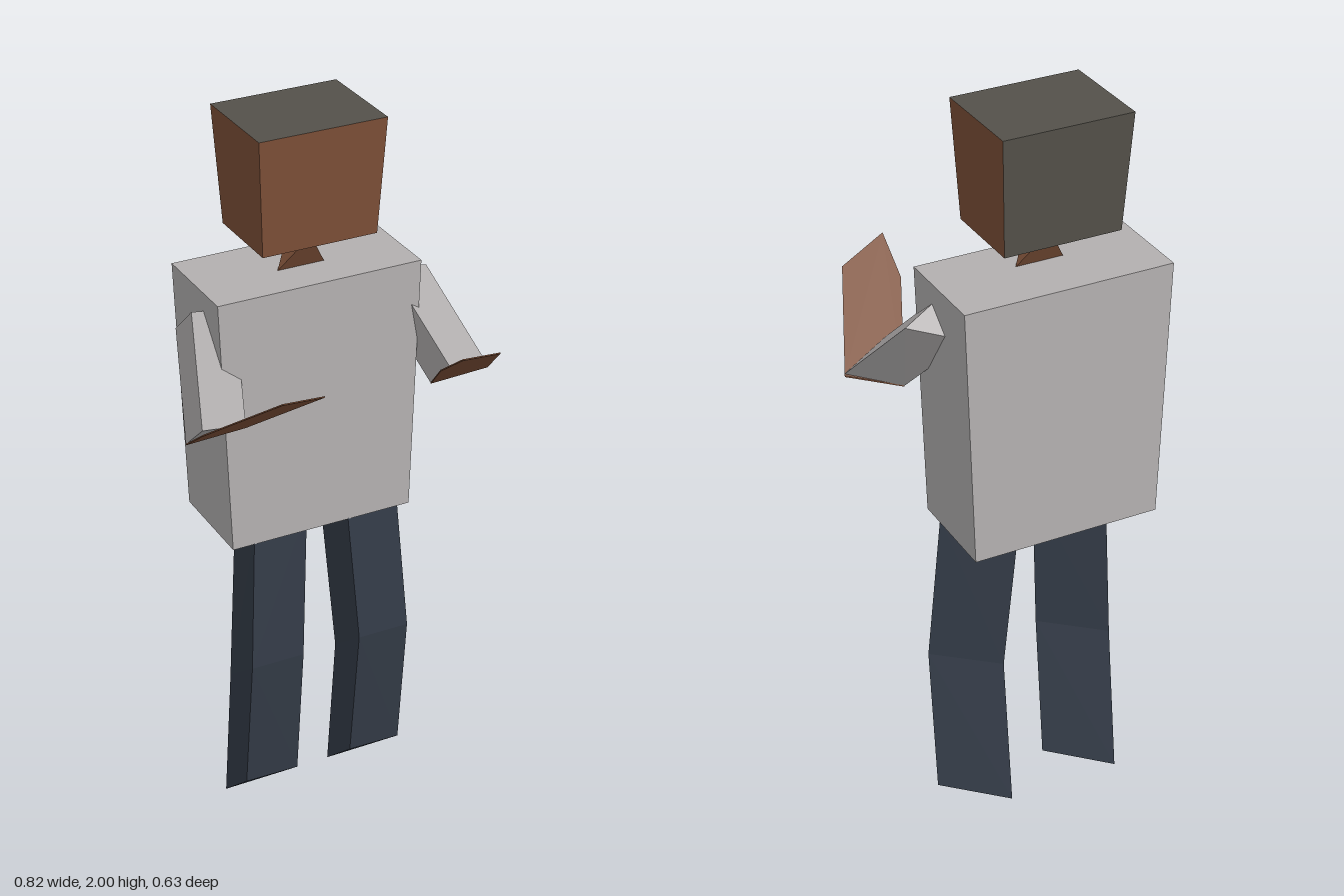
import * as THREE from 'three';
import { ConvexGeometry } from 'three/addons/geometries/ConvexGeometry.js';

const mat = (name, color) => {
  const m = new THREE.MeshStandardMaterial({ color });
  m.name = name;
  return m;
};

export function createModel() {
  const skin = mat('skin', 0x7d5038);
  const hair = mat('hair', 0x54514a);
  const shirt = mat('shirt', 0xb3b0b0);
  const trousers = mat('trousers', 0x343c48);

  const model = new THREE.Group();
  model.name = 'figure';

  const add = (name, geometry, material, parent = model) => {
    const mesh = new THREE.Mesh(geometry, material);
    mesh.name = name;
    parent.add(mesh);
    return mesh;
  };
  const group = (name) => {
    const g = new THREE.Group();
    g.name = name;
    model.add(g);
    return g;
  };
  const hull = (...rings) =>
    new ConvexGeometry(rings.flat().map((p) => new THREE.Vector3(...p)));

  // Box whose bottom is narrower than its top
  const taperedBox = (w, h, d, sx, sz) => {
    const g = new THREE.BoxGeometry(w, h, d);
    const p = g.attributes.position;
    for (let i = 0; i < p.count; i++) {
      if (p.getY(i) < 0) p.setXYZ(i, p.getX(i) * sx, p.getY(i), p.getZ(i) * sz);
    }
    g.computeVertexNormals();
    return g;
  };

  // Head: hair on the top and the back
  const head = add('head', taperedBox(0.343, 0.31, 0.27, 0.91, 0.84),
    [skin, skin, hair, skin, skin, hair]);
  head.position.set(-0.025, 1.845, -0.162);

  // Neck: wedge with a top edge along z and a bottom edge along x
  add('neck', hull(
    [[-0.025, 1.695, -0.1], [-0.025, 1.695, -0.21]],
    [[-0.09, 1.588, -0.157], [0.04, 1.588, -0.157]]), skin);

  // Torso
  const torso = add('torso', taperedBox(0.561, 0.7, 0.27, 0.91, 1), shirt);
  torso.position.set(-0.025, 1.24, -0.18);

  // Legs: three-sided prisms, both turned the same way
  const legs = [
    { name: 'rightLeg', xHip: [-0.218, -0.033, -0.21], x: -0.245 },
    { name: 'leftLeg', xHip: [0.048, 0.23, 0.04], x: 0.072 },
  ];
  for (const { name, xHip, x } of legs) {
    const leg = group(name);
    const ring = (xs, ys, zs) => xs.map((v, i) => [v, ys[i], zs[i]]);
    const xs = [x, x + 0.185, x];
    const hip = ring(xHip, [0.93, 0.905, 0.88], [-0.047, -0.117, -0.185]);
    const knee = ring(xs, [0.525, 0.47, 0.42], [-0.02, -0.09, -0.16]);
    const foot = ring(xs, [0.12, 0.063, 0], [-0.072, -0.135, -0.21]);
    add('thigh', hull(hip, knee), trousers, leg);
    add('shin', hull(knee, foot), trousers, leg);
  }

  // Arms: three-sided sleeves and flat raised forearms
  const arms = [
    { name: 'rightArm', shoulder: [-0.342, -0.203], elbow: [-0.413, -0.274], hand: [-0.309, -0.172] },
    { name: 'leftArm', shoulder: [0.203, 0.34], elbow: [0.274, 0.411], hand: [0.172, 0.309] },
  ];
  for (const { name, shoulder, elbow, hand } of arms) {
    const arm = group(name);
    const section = ([a, b], [back, mid, front], height) =>
      [[a, back], [a, front], [b, mid]].map(([x, z]) => [x, height(z), z]);
    const top = section(shoulder, [-0.22, -0.17, -0.12], (z) => 1.657 + 0.89 * z);
    const bend = section(elbow, [-0.018, 0.033, 0.084], (z) => 1.266 + 0.87 * z);
    add('sleeve', hull(top, bend), shirt, arm);

    const slope = (z) => 1.263 + 0.748 * z;
    const flat = [
      ...section(elbow, [-0.018, 0.033, 0.084], slope),
      ...section(hand, [0.208, 0.26, 0.312], slope),
    ];
    const shifted = (d) => flat.map(([x, y, z]) => [x, y + d, z]);
    add('forearm', hull(shifted(0.002), shifted(-0.002)), skin, arm);
  }

  return model;
}
